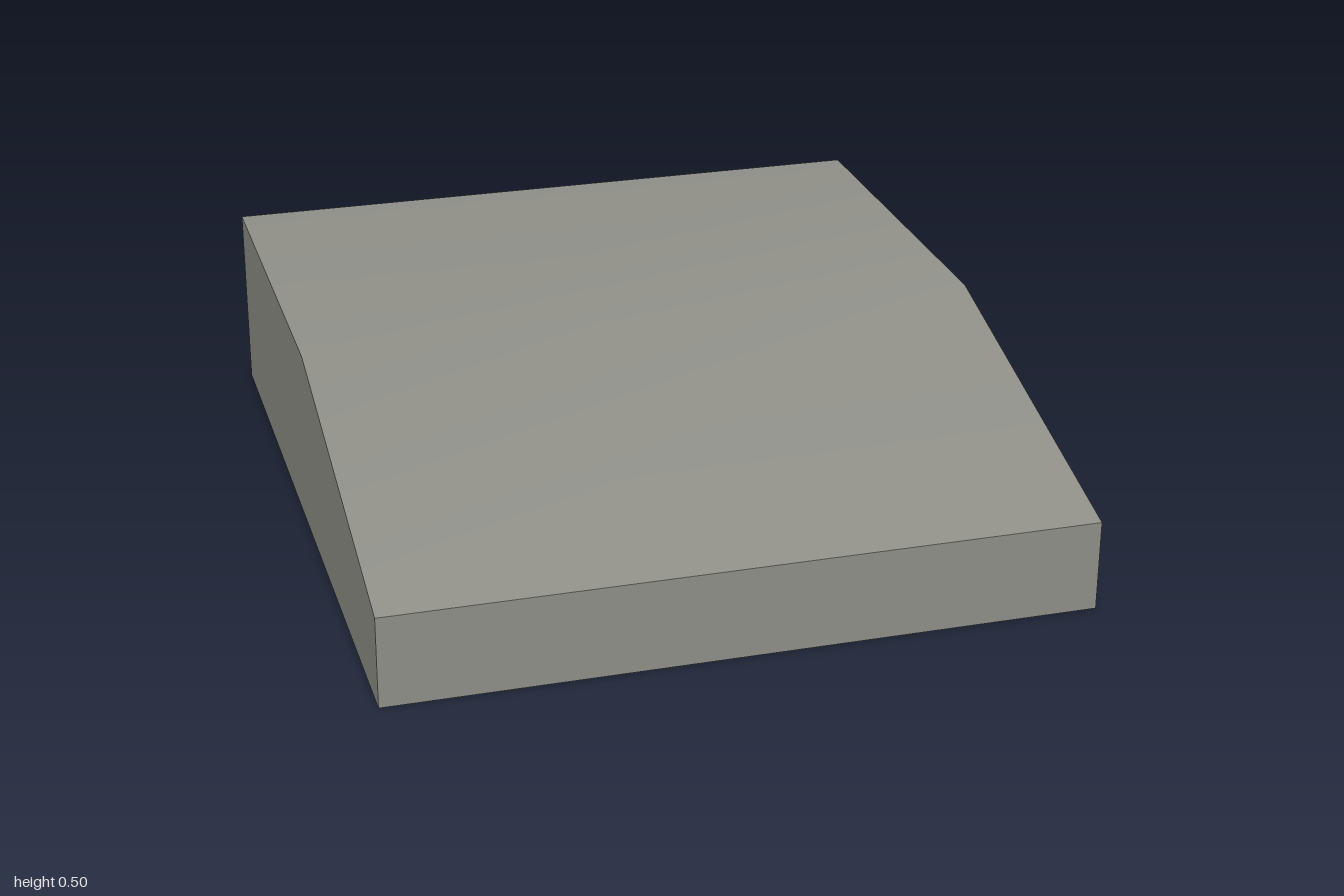
import * as THREE from 'three';
import { toCreasedNormals } from 'three/addons/utils/BufferGeometryUtils.js';

const WIDTH = 1.82;

export function createModel() {
  const group = new THREE.Group();
  group.name = 'wedgeBlock';

  const grey = new THREE.MeshStandardMaterial({ color: 0x8f8f88 });
  grey.name = 'warm grey';

  // Side profile as (z, y): flat rear top, sloping down to a low front
  const profile = new THREE.Shape([
    [-1, 0], [1, 0], [1, 0.24], [0.05, 0.5], [-1, 0.5],
  ].map(([z, y]) => new THREE.Vector2(z, y)));

  // Extrude across the width, then turn the profile to run along z
  const geometry = new THREE.ExtrudeGeometry(profile, { depth: WIDTH, bevelEnabled: false });
  geometry.rotateY(-Math.PI / 2);
  geometry.translate(WIDTH / 2, 0, 0);

  // Shade the shallow ridge smoothly and keep the other edges sharp
  const block = new THREE.Mesh(toCreasedNormals(geometry, 0.6), grey);
  block.name = 'slopedBlock';
  group.add(block);

  return group;
}
